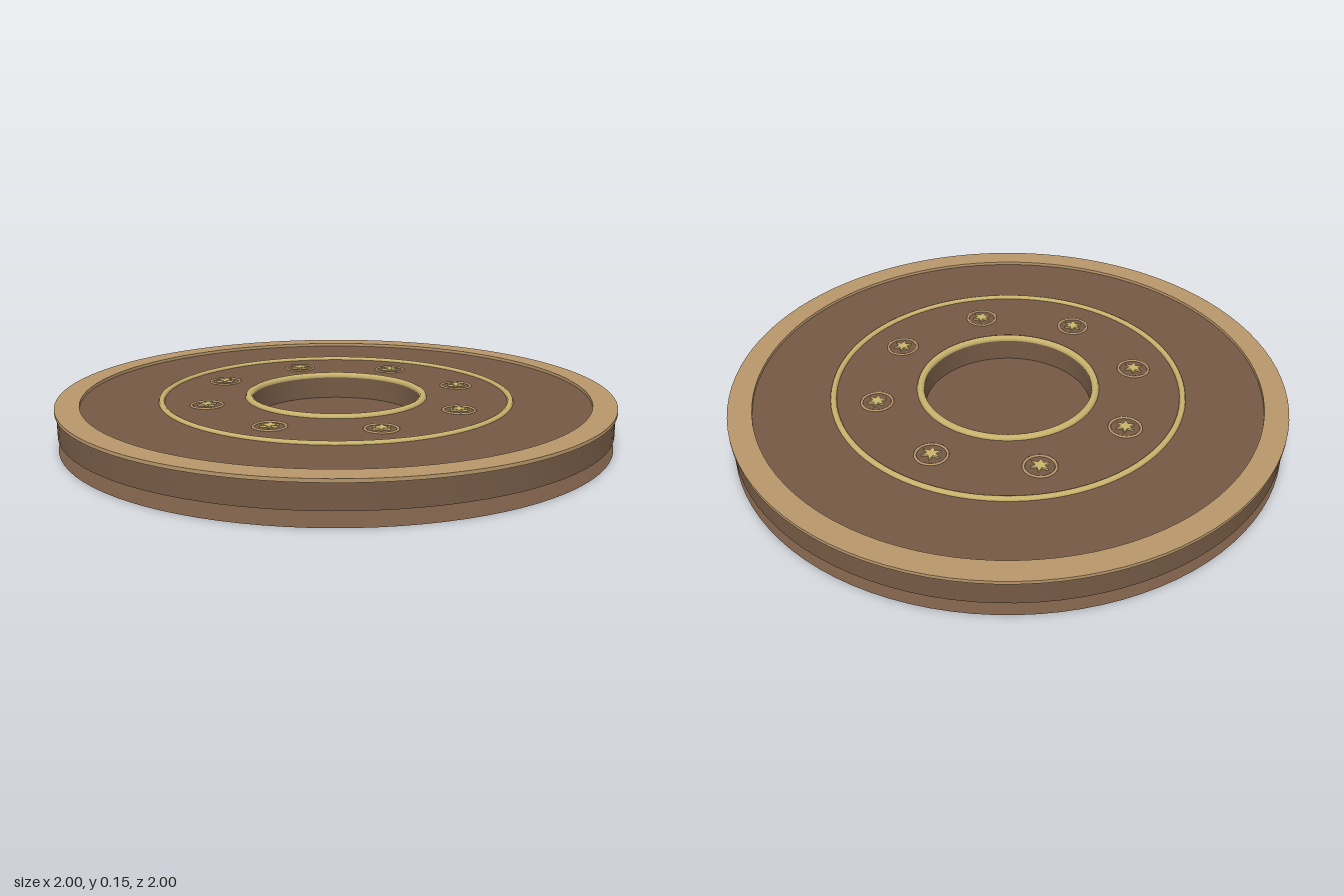
import * as THREE from 'three';
import { toCreasedNormals } from 'three/addons/utils/BufferGeometryUtils.js';

const material = (name, color) => {
  const m = new THREE.MeshStandardMaterial({ color });
  m.name = name;
  return m;
};

export function createModel() {
  const brown = material('brown', 0x745944);
  const tan = material('tan', 0xb6956a);
  const gold = material('gold', 0xc8b26c);
  const model = new THREE.Group();
  model.name = 'roundPlate';
  const topY = 0.135;

  const add = (name, geometry, mat, parent = model) => {
    const mesh = new THREE.Mesh(geometry, mat);
    mesh.name = name;
    parent.add(mesh);
    return mesh;
  };

  // Solid of revolution with a rectangular section
  const band = (inner, outer, y0, y1) => {
    const profile = [[inner, y0], [outer, y0], [outer, y1], [inner, y1], [inner, y0]]
      .map(([x, y]) => new THREE.Vector2(x, y));
    return toCreasedNormals(new THREE.LatheGeometry(profile, 96), 0.6);
  };

  // Ring half sunk into the top face
  const ring = (name, radius, tube, mat, parent) => {
    const geometry = new THREE.TorusGeometry(radius, tube, 8, radius > 0.1 ? 96 : 32);
    geometry.rotateX(Math.PI / 2);
    const mesh = add(name, geometry, mat, parent);
    mesh.position.y = topY;
    return mesh;
  };

  // Flared foot; its top is the floor of the central well
  add('base', new THREE.CylinderGeometry(0.905, 0.993, 0.05, 96), brown).position.y = 0.025;

  // Main disc with central well, and raised outer rim
  add('disc', band(0.305, 0.993, 0.05, topY), brown);
  add('rim', band(0.915, 1, topY, 0.147), tan);

  // Inlaid rings
  ring('wellRing', 0.317, 0.014, gold);
  ring('outerRing', 0.63, 0.011, gold);

  // Six-pointed star outline
  const star = new THREE.Shape();
  for (let i = 0; i < 12; i++) {
    const r = i % 2 ? 0.016 : 0.035;
    const a = (i * Math.PI) / 6 + Math.PI / 2;
    star[i ? 'lineTo' : 'moveTo'](r * Math.cos(a), r * Math.sin(a));
  }
  star.closePath();
  const starGeometry = new THREE.ExtrudeGeometry(star, { depth: 0.007, bevelEnabled: false });
  starGeometry.rotateX(-Math.PI / 2);

  // Eight medallions around the well
  for (let i = 0; i < 8; i++) {
    const a = ((i + 0.5) * Math.PI) / 4;
    const medallion = new THREE.Group();
    medallion.name = 'medallion' + (i + 1);
    medallion.position.set(0.478 * Math.cos(a), 0, 0.478 * Math.sin(a));
    ring('medallionRing', 0.055, 0.005, tan, medallion);
    add('star', starGeometry, gold, medallion).position.y = topY;
    model.add(medallion);
  }

  return model;
}
